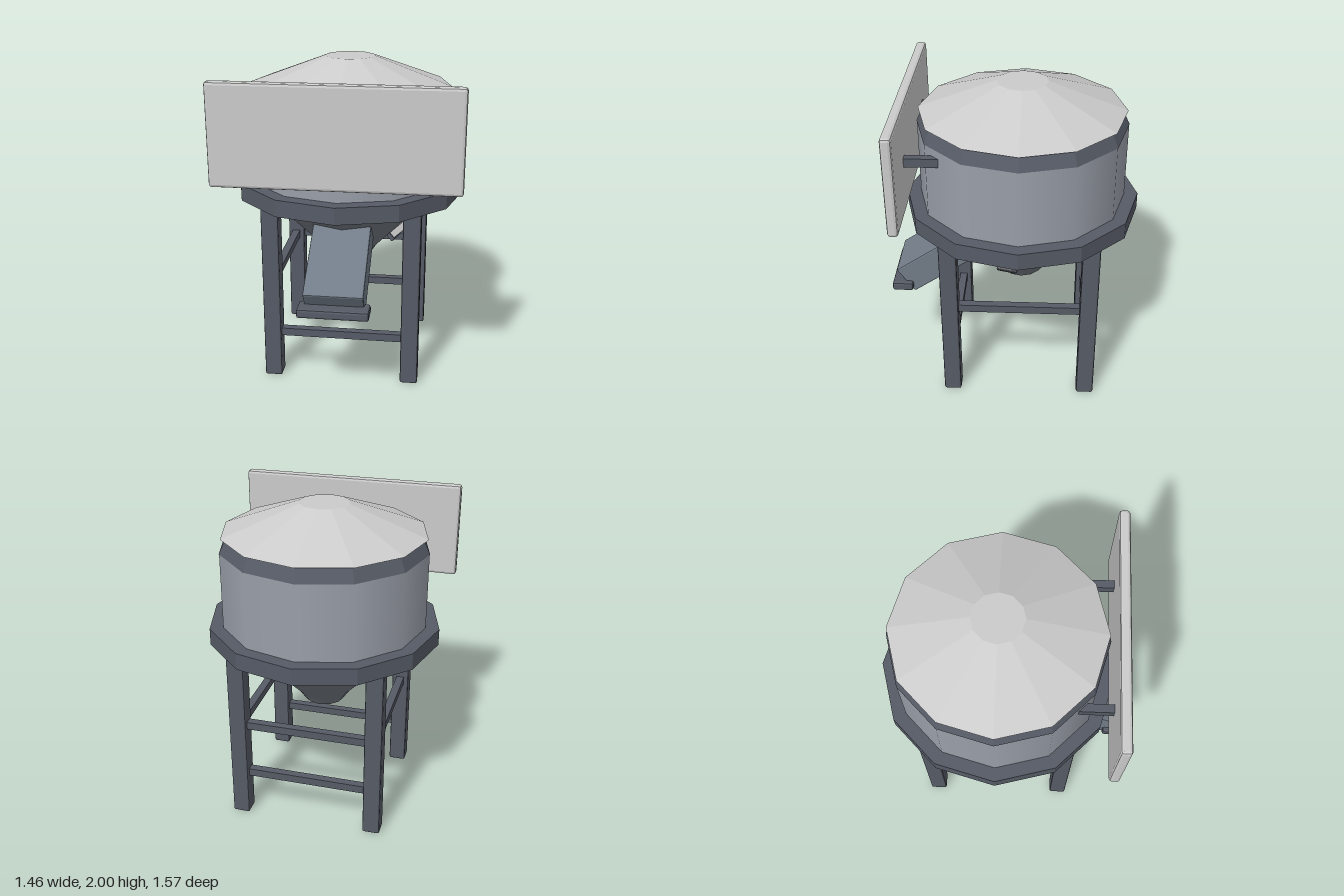
import * as THREE from 'three';
import { RoundedBoxGeometry } from 'three/addons/geometries/RoundedBoxGeometry.js';

const SIDES = 12;
const AXIS_Z = -0.055; // the vessel and stand sit slightly behind the centre

const paint = (color, flatShading = true) => new THREE.MeshStandardMaterial({ color, flatShading });
const light = paint(0xcccccc);
const steel = paint(0x565b66);
const chuteMetal = paint(0x727c88);
const shellMetal = paint(0x9a9fa9, false);
const coneMetal = paint(0x747a82, false);

function add(parent, name, geometry, material, x = 0, y = 0, z = 0) {
  const mesh = new THREE.Mesh(geometry, material);
  mesh.name = name;
  mesh.position.set(x, y, z);
  parent.add(mesh);
  return mesh;
}

// Box with small chamfered edges
const bevelBox = (w, h, d, r = 0.01) => new RoundedBoxGeometry(w, h, d, 1, r);

// Twelve-sided drum between two heights
function drum(rTop, rBottom, y0, y1, open = false) {
  const g = new THREE.CylinderGeometry(rTop, rBottom, y1 - y0, SIDES, 1, open);
  return g.translate(0, (y0 + y1) / 2, 0);
}

function createVessel() {
  const vessel = new THREE.Group();
  vessel.name = 'vessel';
  add(vessel, 'lid', drum(0.155, 0.635, 1.82, 2), light);
  add(vessel, 'rimBand', drum(0.605, 0.647, 1.73, 1.82), steel);
  add(vessel, 'shell', drum(0.645, 0.645, 1.24, 1.73, true), shellMetal);
  add(vessel, 'supportRing', drum(0.73, 0.73, 1.145, 1.25), steel);

  // Discharge cone with a steeper spout
  const profile = [[0.13, 0.68], [0.185, 0.76], [0.565, 1.145], [0.6, 1.18]];
  const cone = new THREE.LatheGeometry(profile.map(([r, y]) => new THREE.Vector2(r, y)), SIDES);
  add(vessel, 'cone', cone, coneMetal);
  const cap = new THREE.CircleGeometry(0.13, SIDES).rotateX(Math.PI / 2);
  add(vessel, 'coneBottom', cap, coneMetal, 0, 0.68, 0);
  return vessel;
}

function createStand() {
  const stand = new THREE.Group();
  stand.name = 'stand';
  const reach = 0.435;
  for (const x of [-reach, reach]) {
    for (const z of [-reach, reach]) add(stand, 'leg', bevelBox(0.11, 1.16, 0.11, 0.012), steel, x, 0.58, z);
    add(stand, 'sideBrace', new THREE.BoxGeometry(0.05, 0.05, 0.8), steel, x, 0.65, 0);
  }
  // Front stays open for the chute, back has two braces
  for (const [z, y] of [[reach, 0.3], [-reach, 0.3], [-reach, 0.65]]) {
    add(stand, 'crossBrace', new THREE.BoxGeometry(0.8, 0.05, 0.05), steel, 0, y, z);
  }
  return stand;
}

function createVibrator() {
  // Small motor clamped to the sloping cone face on the model's left
  const turn = new THREE.Group();
  turn.name = 'vibrator';
  turn.rotation.y = -Math.PI / 12;
  const tilted = new THREE.Group();
  tilted.position.set(0.4, 0.955, 0);
  tilted.rotation.z = -Math.PI / 4;
  turn.add(tilted);
  add(tilted, 'vibratorBody', bevelBox(0.045, 0.26, 0.11, 0.006), light);
  for (const y of [-0.135, 0.135]) {
    add(tilted, 'vibratorEndPlate', bevelBox(0.06, 0.03, 0.13, 0.006), steel, 0, y, 0);
  }
  return turn;
}

export function createModel() {
  const model = new THREE.Group();
  model.name = 'hopperSilo';

  const tower = new THREE.Group();
  tower.name = 'tower';
  tower.position.z = AXIS_Z;
  tower.add(createVessel(), createStand(), createVibrator());
  model.add(tower);

  // Blank sign panel on two brackets
  add(model, 'signPanel', bevelBox(1.46, 0.615, 0.065, 0.018), light, 0, 1.652, 0.648);
  for (const x of [-0.388, 0.388]) {
    add(model, 'signBracket', new THREE.BoxGeometry(0.05, 0.055, 0.21), steel, x, 1.653, 0.52);
  }

  // Chute sloping forward out of the cone, with a gate at its mouth
  const slope = THREE.MathUtils.degToRad(34.5);
  const length = 0.7;
  const chute = add(model, 'chute', bevelBox(0.36, 0.2, length, 0.01), chuteMetal,
    0, 0.65 + Math.sin(slope) * length / 2, 0.702 - Math.cos(slope) * length / 2);
  chute.rotation.x = slope;
  add(model, 'chuteGate', bevelBox(0.43, 0.057, 0.135, 0.014), steel, 0, 0.622, 0.718);

  return model;
}
